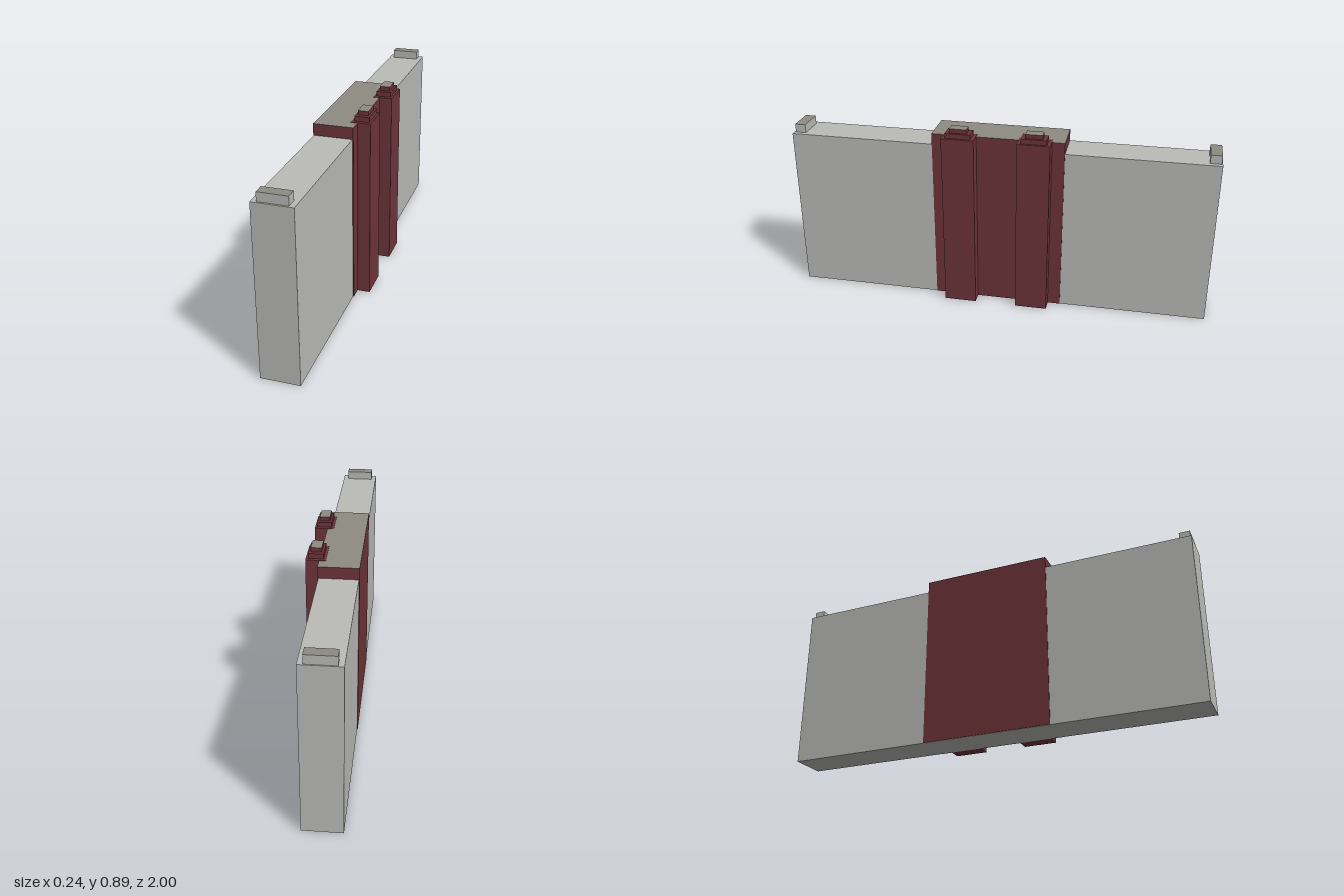
import * as THREE from 'three';

export function createModel() {
  const model = new THREE.Group();
  model.name = 'wallWithPilasters';

  const mat = (name, color) => {
    const m = new THREE.MeshStandardMaterial({ color });
    m.name = name;
    return m;
  };
  const concrete = mat('paleConcrete', 0xbbbbb8);
  const roofing = mat('weatheredTop', 0x8e8b82);
  const brick = mat('maroonBrick', 0x6e343a);

  // Box given by its limits; the top face may have its own material
  const block = (name, [x0, x1], [y0, y1], [z0, z1], side, top = side) => {
    const geometry = new THREE.BoxGeometry(x1 - x0, y1 - y0, z1 - z0);
    const mesh = new THREE.Mesh(geometry, [side, side, top, side, side, side]);
    mesh.name = name;
    mesh.position.set((x0 + x1) / 2, (y0 + y1) / 2, (z0 + z1) / 2);
    model.add(mesh);
  };

  // Long wall running front to back
  block('wall', [-0.118, 0.057], [0, 0.79], [-1, 1], concrete);

  // Raised central bay with a flat roof
  block('centralBay', [-0.121, 0.061], [0.001, 0.844], [-0.307, 0.312], brick, roofing);

  // Small blocks on top of both wall ends
  block('frontEndBlock', [-0.095, 0.034], [0.79, 0.83], [0.942, 0.992], concrete, roofing);
  block('backEndBlock', [-0.095, 0.034], [0.79, 0.83], [-0.995, -0.944], concrete, roofing);

  // Two pilasters, each with a stepped cap
  for (const [side, z] of [['front', 0.177], ['back', -0.172]]) {
    const span = (half) => [z - half, z + half];
    block(`${side}Pilaster`, [0.031, 0.12], [0.001, 0.846], span(0.076), brick);
    block(`${side}LowerCap`, [0.042, 0.11], [0.846, 0.869], span(0.059), brick);
    block(`${side}UpperCap`, [0.052, 0.1], [0.869, 0.889], span(0.04), brick, roofing);
  }
  return model;
}
